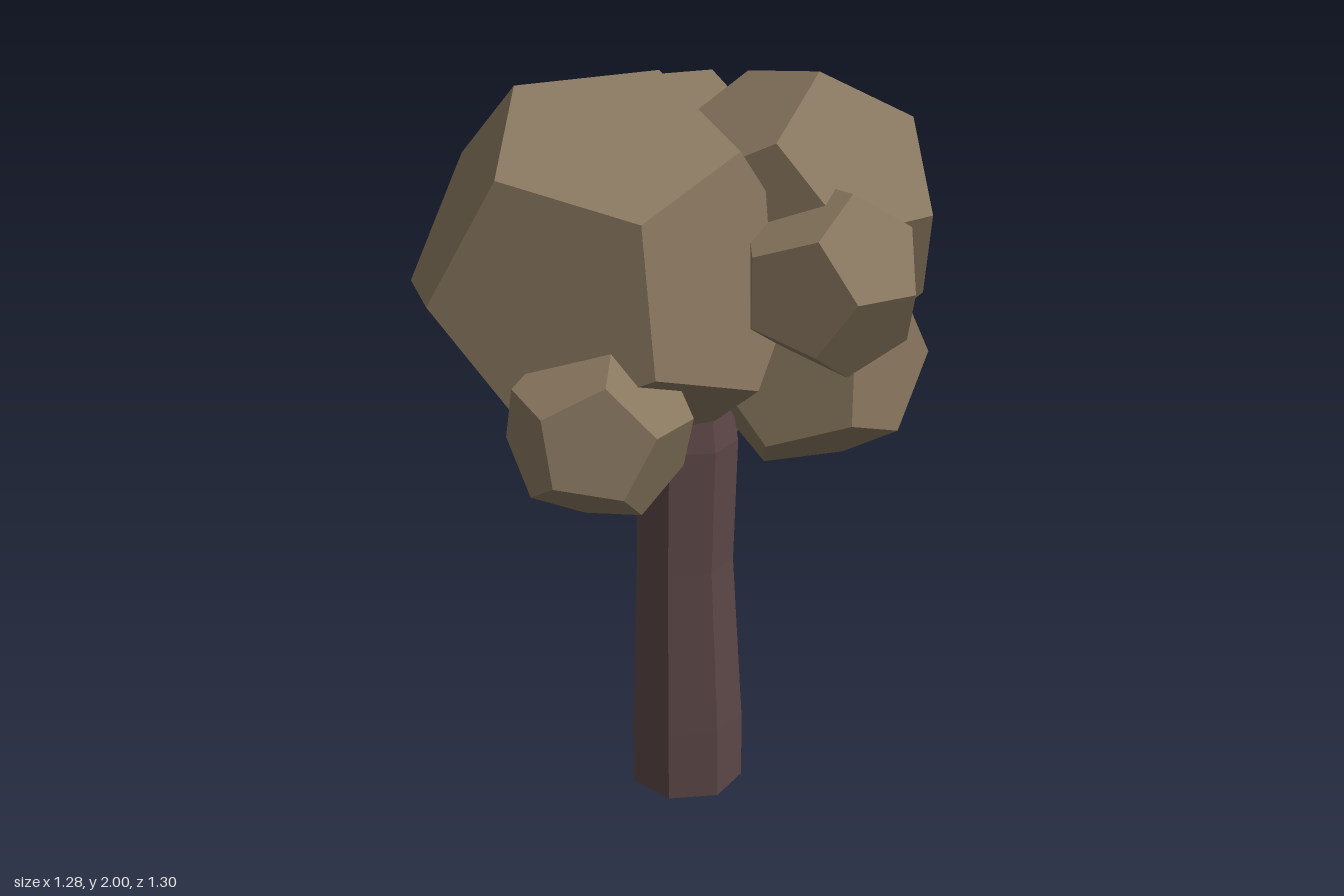
import * as THREE from 'three';

const leafMaterial = new THREE.MeshStandardMaterial({ color: 0x8a7860, flatShading: true });
const barkMaterial = new THREE.MeshStandardMaterial({ color: 0x5c4646, flatShading: true });

// Twelve-sided leaf clump, turned so that one edge faces `toward` and runs along `along`
function leafClump(name, center, radius, toward, along) {
  const z = new THREE.Vector3(...toward).normalize();
  const y = new THREE.Vector3(...along);
  y.addScaledVector(z, -y.dot(z)).normalize();
  const x = new THREE.Vector3().crossVectors(y, z);
  const mesh = new THREE.Mesh(new THREE.DodecahedronGeometry(radius), leafMaterial);
  mesh.quaternion.setFromRotationMatrix(new THREE.Matrix4().makeBasis(x, y, z));
  mesh.position.set(...center);
  mesh.name = name;
  return mesh;
}

// Seven-sided trunk, narrowest at mid height
function trunk() {
  // each level: y, radius, centre x, centre z
  const levels = [
    [0, 0.16, -0.005, -0.033],
    [0.2, 0.159, -0.006, -0.033],
    [0.68, 0.137, -0.01, -0.026],
    [1.03, 0.142, -0.005, -0.028],
    [1.3, 0.09, 0, -0.03],
  ];
  const last = levels.length - 1;
  const geometry = new THREE.CylinderGeometry(1, 1, 1, 7, last, false, -Math.PI / 2);
  const p = geometry.attributes.position;
  for (let i = 0; i < p.count; i++) {
    const [y, r, cx, cz] = levels[Math.round((p.getY(i) + 0.5) * last)];
    p.setXYZ(i, cx + p.getX(i) * r, y, cz + p.getZ(i) * r);
  }
  geometry.computeVertexNormals();
  const mesh = new THREE.Mesh(geometry, barkMaterial);
  mesh.name = 'trunk';
  return mesh;
}

// Thin angular branch whose far end is buried in a leaf clump
function branch(name, points, radius) {
  const curve = new THREE.CatmullRomCurve3(points.map((p) => new THREE.Vector3(...p)));
  const mesh = new THREE.Mesh(new THREE.TubeGeometry(curve, 4, radius, 5), barkMaterial);
  mesh.name = name;
  return mesh;
}

export function createModel() {
  const tree = new THREE.Group();
  tree.name = 'tree';

  tree.add(trunk());
  tree.add(
    branch('rightBranch', [[-0.06, 0.96, 0], [-0.17, 1.04, 0.04], [-0.25, 1.1, 0.12], [-0.36, 1.12, 0.22]], 0.035),
    branch('frontBranch', [[0, 1, 0.04], [0.01, 1.1, 0.16], [0.02, 1.19, 0.38]], 0.035),
    branch('backBranch', [[0.02, 0.97, -0.1], [0.04, 1.02, -0.2], [0.08, 1.16, -0.26]], 0.03),
  );

  const foliage = new THREE.Group();
  foliage.name = 'foliage';
  foliage.add(
    leafClump('mainClump', [-0.166, 1.508, 0.105], 0.52, [0.148, 0.262, 0.385], [0.365, -0.08, -0.08]),
    leafClump('backLeftClump', [0.178, 1.615, -0.28], 0.4, [0.332, 0.152, -0.06], [0.12, -0.225, 0.14]),
    leafClump('backRightClump', [-0.233, 1.657, -0.385], 0.303, [0.028, 0.228, -0.166], [-0.05, -0.11, -0.17]),
    leafClump('leftClump', [0.388, 1.515, -0.063], 0.25, [0.9, 0, 0.438], [-0.438, 0, 0.9]),
    leafClump('lowFrontClump', [0.02, 1.205, 0.43], 0.238, [0, 0, 1], [-0.17, 0.98, 0]),
    leafClump('lowBackClump', [0.25, 1.265, -0.23], 0.325, [0, -1, 0], [0.16, 0, -0.19]),
  );
  tree.add(foliage);
  return tree;
}
